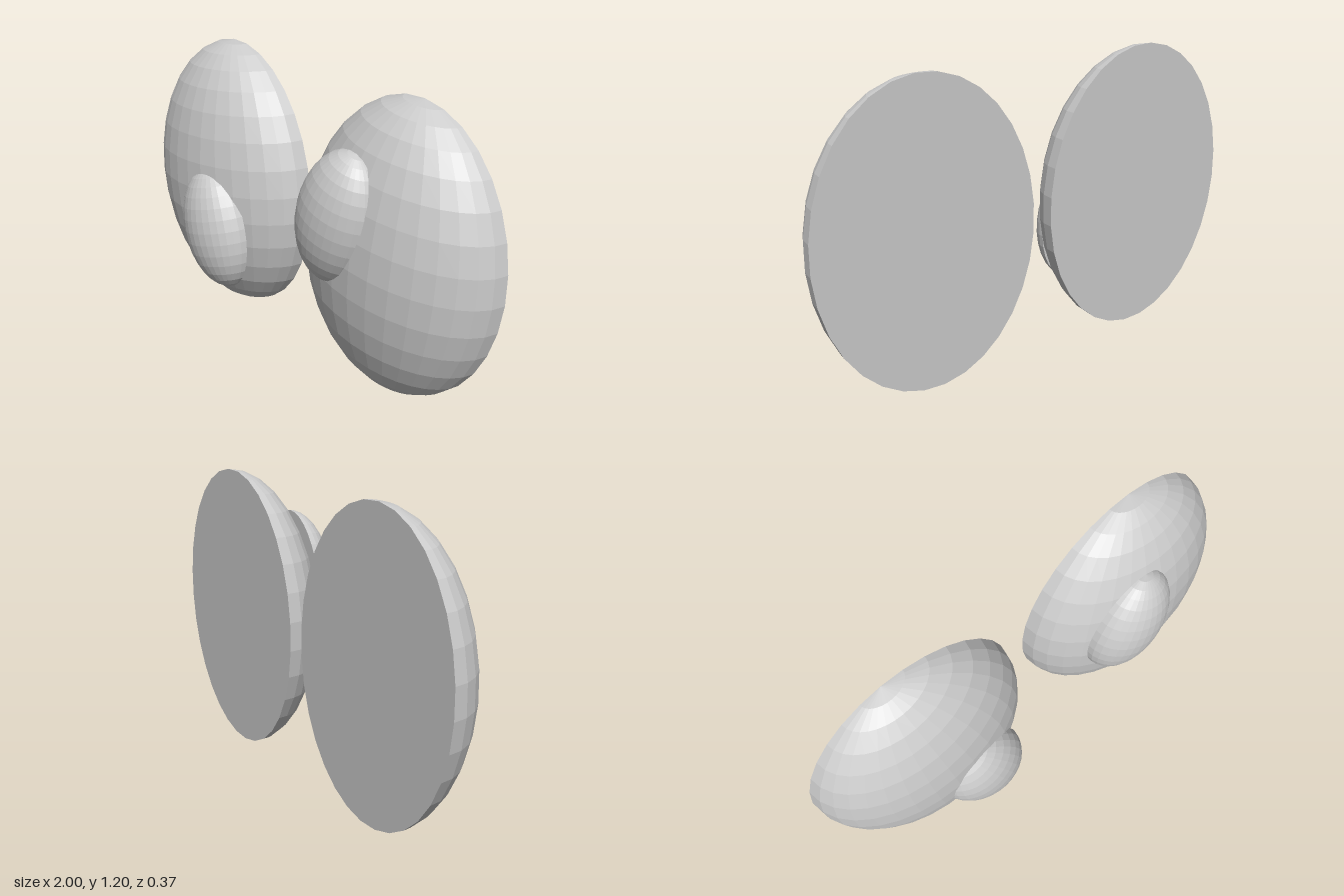
import * as THREE from 'three';

const material = new THREE.MeshStandardMaterial({ color: 0xcccccc, flatShading: true });

// Half ellipsoid bulging toward +z, closed by a flat back
function dome(name, [x, y, z], [rx, ry, rz], tilt) {
  const group = new THREE.Group();
  group.name = name;
  const shell = new THREE.Mesh(new THREE.SphereGeometry(1, 16, 16, 0, Math.PI), material);
  shell.name = name + 'Shell';
  const back = new THREE.Mesh(new THREE.CircleGeometry(1, 32).rotateY(Math.PI), material);
  back.name = name + 'Back';
  group.add(shell, back);
  group.position.set(x, y, z);
  group.scale.set(rx, ry, rz);
  group.rotation.z = tilt;
  return group;
}

export function createModel() {
  const model = new THREE.Group();
  model.name = 'eyes';

  // Eyeballs, mirrored and leaning slightly outward
  for (const [name, side] of [['leftEyeball', 1], ['rightEyeball', -1]]) {
    model.add(dome(name, [side * 0.521, 0.602, -0.185], [0.478, 0.602, 0.295], side * -0.08));
  }

  // Pupils, looking in different directions
  model.add(dome('leftPupil', [0.39, 0.75, 0.04], [0.185, 0.281, 0.143], -0.29));
  model.add(dome('rightPupil', [-0.385, 0.443, 0.04], [0.188, 0.273, 0.143], 0.26));
  return model;
}
